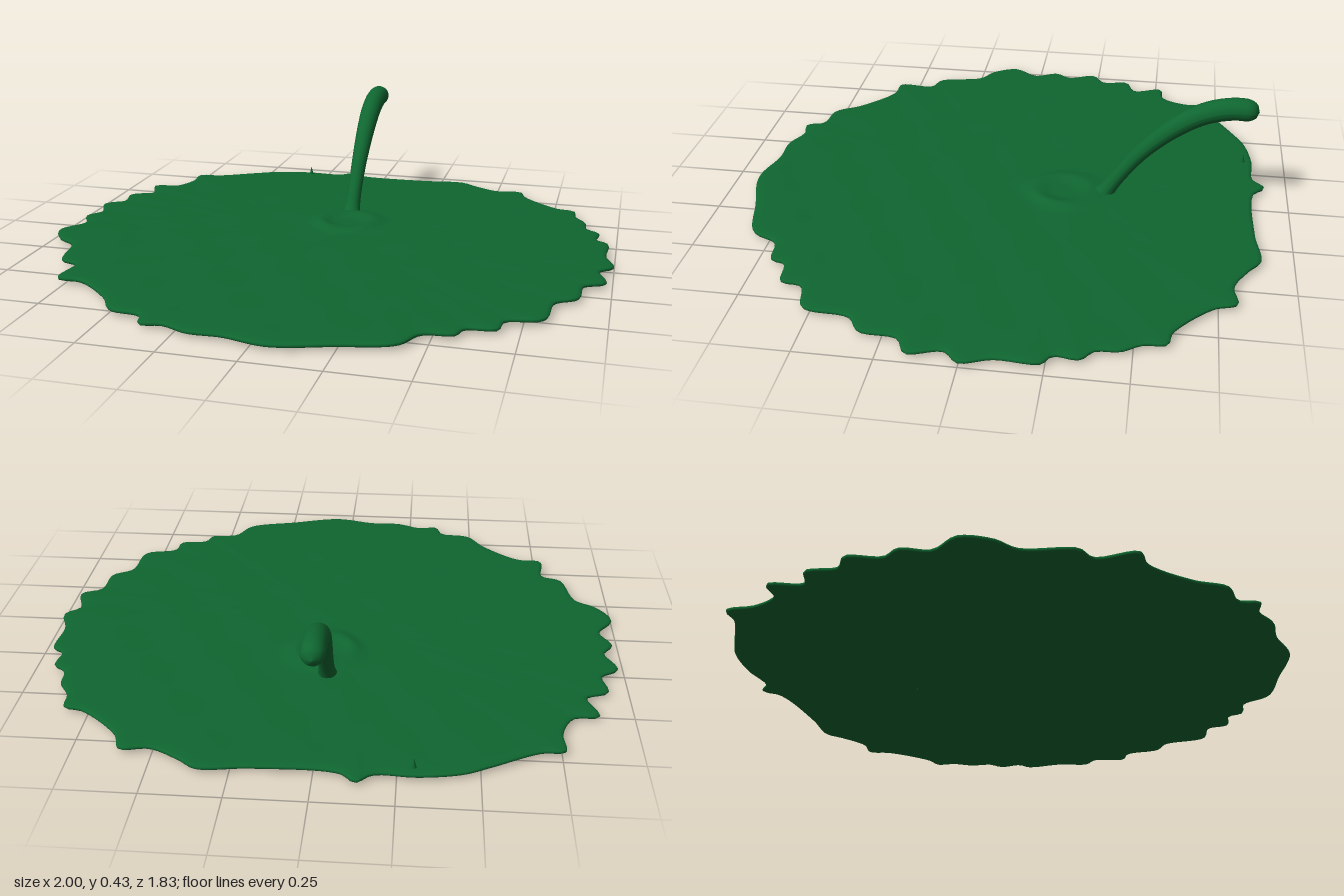
import * as THREE from 'three';

const material = new THREE.MeshStandardMaterial({ color: 0x0f6630 });

// Ragged rim of the pad, as x, z pairs running clockwise from the right
const rim = [
  1, 0, 0.955, 0.05, 0.98, 0.16, 0.915, 0.2, 0.9, 0.32, 0.835, 0.37, 0.81, 0.52, 0.7, 0.56,
  0.685, 0.63, 0.59, 0.65, 0.57, 0.7, 0.475, 0.72, 0.42, 0.81, 0.245, 0.865, 0.06, 0.915,
  -0.09, 0.885, -0.2, 0.885, -0.29, 0.85, -0.36, 0.86, -0.385, 0.8, -0.49, 0.78, -0.555, 0.69,
  -0.69, 0.58, -0.775, 0.57, -0.775, 0.44, -0.84, 0.41, -0.885, 0.25, -0.955, 0.2, -1, 0.11,
  -0.945, 0.015, -0.98, -0.07, -0.945, -0.13, -0.98, -0.23, -0.92, -0.28, -0.93, -0.375,
  -0.855, -0.415, -0.885, -0.52, -0.805, -0.535, -0.76, -0.625, -0.76, -0.72, -0.69, -0.73,
  -0.53, -0.815, -0.45, -0.855, -0.315, -0.88, -0.18, -0.88, -0.13, -0.92, -0.08, -0.88,
  0.19, -0.875, 0.35, -0.89, 0.41, -0.85, 0.51, -0.8, 0.6, -0.81, 0.63, -0.74, 0.77, -0.615,
  0.83, -0.6, 0.84, -0.53, 0.88, -0.465, 0.89, -0.39, 0.935, -0.35, 0.93, -0.27, 0.97, -0.24,
  0.97, -0.1,
];

// Height of the upper face: a shallow dome, faint ripples and a low ring beside the stem
function topHeight(x, z, t) {
  const d = Math.hypot(x - 0.02, z + 0.21);
  const ring = 0.012 * Math.exp(-(((d - 0.1) / 0.03) ** 2));
  const ripple = 0.0012 * Math.sin(17 * x + 5 * z) * Math.sin(19 * z - 4 * x);
  return 0.02 + 0.011 * (1 - t * t) + ring + ripple * (1 - t ** 8);
}

function padGeometry(segments = 300, steps = 30) {
  const points = [];
  for (let i = 0; i < rim.length; i += 2) points.push(new THREE.Vector3(rim[i], 0, rim[i + 1]));
  const curve = new THREE.CatmullRomCurve3(points, true, 'centripetal');
  const outline = curve.getSpacedPoints(segments).slice(0, segments);

  // Rings run out over the top, round the edge and back under
  const rings = [];
  for (let j = 0; j <= steps; j++) rings.push([(j / steps) * 0.985, 'top']);
  rings.push([0.997, 0.017], [1, 0.012], [0.997, 0.007], [0.985, 0.004]);
  for (const t of [0.9, 0.6, 0.3, 0]) rings.push([t, 0.003 * t]);

  const position = [], index = [];
  for (const [t, h] of rings) {
    for (const p of outline) {
      const x = p.x * t, z = p.z * t;
      position.push(x, h === 'top' ? topHeight(x, z, t) : h, z);
    }
  }
  for (let j = 0; j < rings.length - 1; j++) {
    for (let i = 0; i < segments; i++) {
      const k = (i + 1) % segments;
      const a = j * segments + i, c = j * segments + k;
      const b = a + segments, d = c + segments;
      if (j > 0) index.push(a, c, b);
      if (j < rings.length - 2) index.push(c, d, b);
    }
  }
  const geometry = new THREE.BufferGeometry();
  geometry.setAttribute('position', new THREE.Float32BufferAttribute(position, 3));
  geometry.setIndex(index);
  geometry.computeVertexNormals();
  return geometry;
}

// Tube whose radius follows a rule along its length
function taperedTube(curve, radiusAt, rings, sides) {
  const geometry = new THREE.TubeGeometry(curve, rings, 1, sides);
  const position = geometry.attributes.position;
  const v = new THREE.Vector3();
  for (let i = 0; i <= rings; i++) {
    const centre = curve.getPointAt(i / rings);
    for (let j = 0; j <= sides; j++) {
      const n = i * (sides + 1) + j;
      v.fromBufferAttribute(position, n).sub(centre).multiplyScalar(radiusAt(i / rings)).add(centre);
      position.setXYZ(n, v.x, v.y, v.z);
    }
  }
  geometry.computeVertexNormals();
  return geometry;
}

export function createModel() {
  const group = new THREE.Group();
  const add = (name, geometry) => {
    const mesh = new THREE.Mesh(geometry, material);
    mesh.name = name;
    group.add(mesh);
    return mesh;
  };

  add('pad', padGeometry());

  // Stem leans back, thickens towards the end and closes in a rounded tip
  const path = new THREE.CatmullRomCurve3(
    [[0.015, -0.345], [0.1, -0.4], [0.2, -0.475], [0.3, -0.58], [0.363, -0.68], [0.388, -0.78], [0.382, -0.862]]
      .map(([y, z]) => new THREE.Vector3(0, y, z)));
  const radiusAt = (u) => {
    const body = 0.026 + 0.013 * THREE.MathUtils.smoothstep(u, 0.1, 0.85);
    const flare = 0.012 * Math.exp(-u * 25);
    const tip = u > 0.93 ? Math.sqrt(Math.max(0, 1 - ((u - 0.93) / 0.07) ** 2)) : 1;
    return (body + flare) * tip;
  };
  add('stem', taperedTube(path, radiusAt, 80, 24));

  // Tiny thorn near the back rim
  const thorn = add('thorn', new THREE.ConeGeometry(0.01, 0.04, 8));
  thorn.position.set(-0.3, 0.034, -0.845);

  return group;
}
